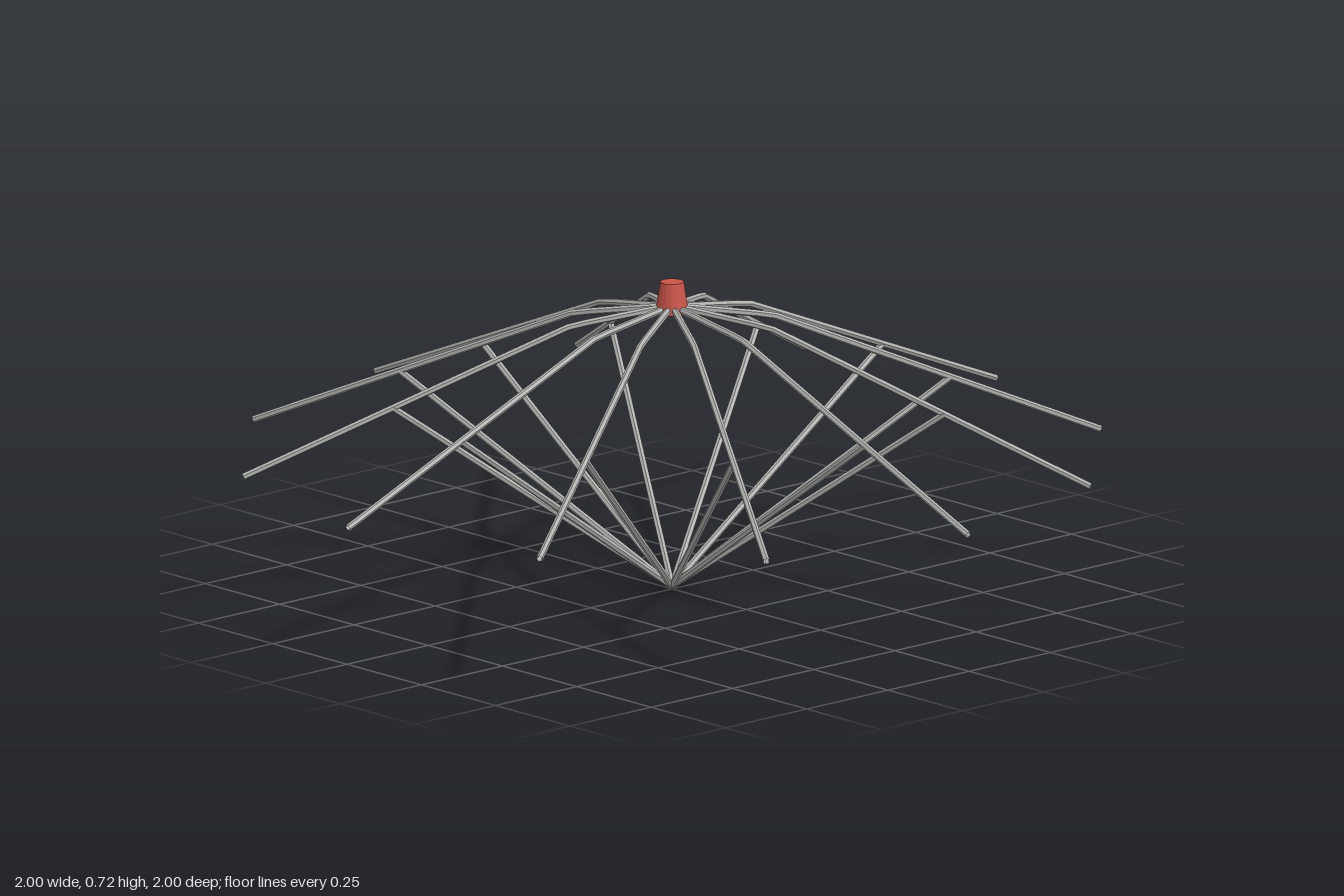
import * as THREE from 'three';

const COUNT = 12;

// six-sided rod swept through points given as [radial distance, height] at one angle
function rod(points, angle, segments, material, name) {
  const v = points.map(([r, y]) => new THREE.Vector3(r * Math.cos(angle), y, r * Math.sin(angle)));
  const path = new THREE.CurvePath();
  for (let k = 0; k < v.length - 1; k++) path.add(new THREE.LineCurve3(v[k], v[k + 1]));
  const mesh = new THREE.Mesh(new THREE.TubeGeometry(path, segments, 0.008, 6), material);
  mesh.name = name;
  return mesh;
}

export function createModel() {
  const model = new THREE.Group();
  model.name = 'umbrellaFrame';
  const metal = new THREE.MeshStandardMaterial({ color: 0xb2b2b0, flatShading: true, side: THREE.DoubleSide });
  metal.name = 'light grey metal';
  const red = new THREE.MeshStandardMaterial({ color: 0xcb5548, flatShading: true });
  red.name = 'warm red';

  for (let i = 0; i < COUNT; i++) {
    const angle = (i / COUNT) * Math.PI * 2;
    const spoke = new THREE.Group();
    spoke.name = 'spoke' + (i + 1);

    // upper rib: shallow from the hub, then a bend into a straight slope
    spoke.add(rod([[0.03, 0.661], [0.235, 0.631], [0.997, 0.32]], angle, 24, metal, 'rib'));

    // strut from the bottom point up to the rib
    spoke.add(rod([[0, 0.007], [0.65, 0.463]], angle, 1, metal, 'strut'));

    model.add(spoke);
  }

  // tapered cap enclosing the inner rib ends
  const cap = new THREE.Mesh(new THREE.CylinderGeometry(0.027, 0.038, 0.072, 16), red);
  cap.position.y = 0.686;
  cap.name = 'cap';
  model.add(cap);

  return model;
}
